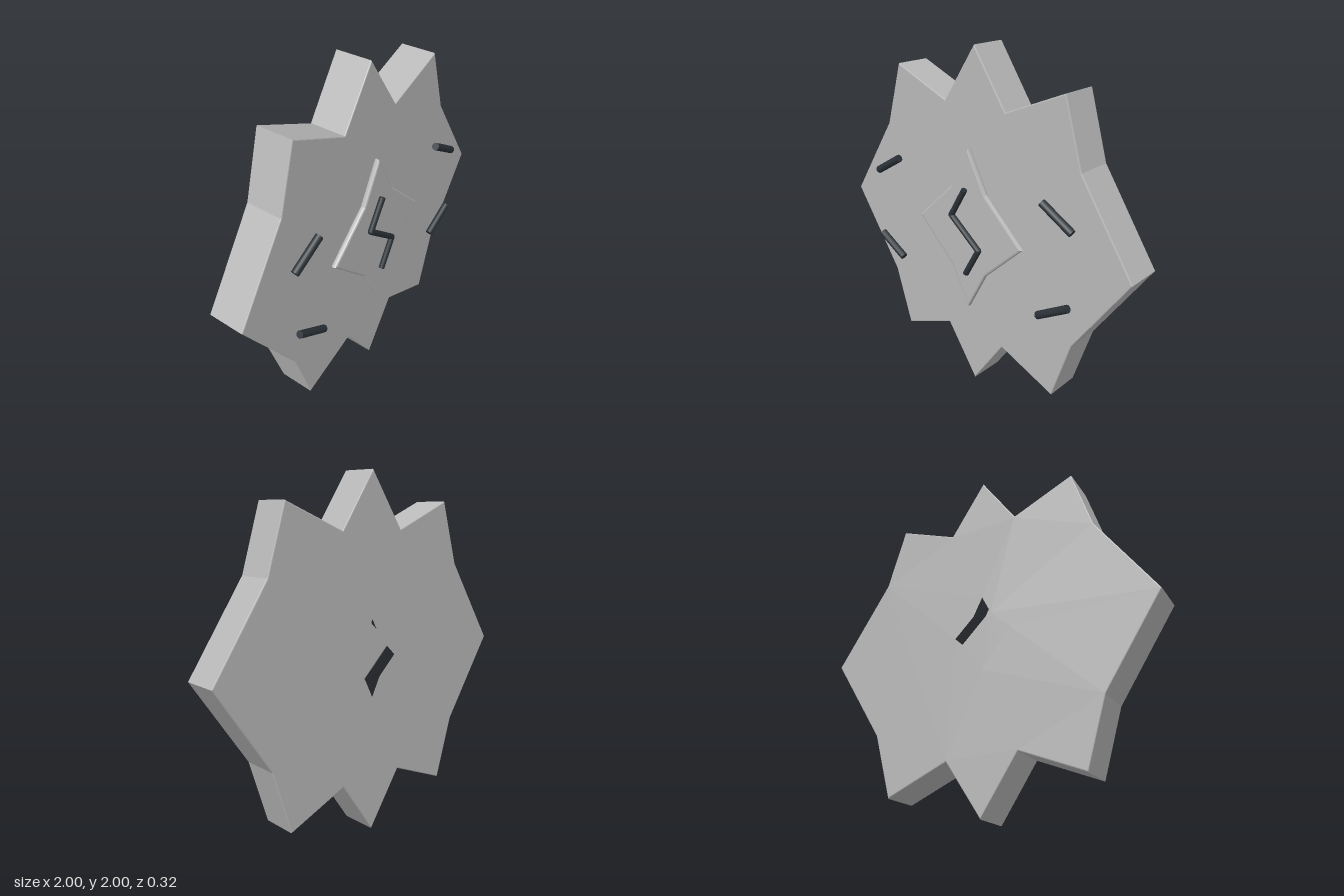
import * as THREE from 'three';

const stone = new THREE.MeshStandardMaterial({ color: 0xb8b8b8 });
stone.name = 'light grey';
const ink = new THREE.MeshStandardMaterial({ color: 0x2b3238 });
ink.name = 'dark slate';

// Mirrors one quadrant (top tip to right tip) into a closed four-way outline.
function mirrored(quadrant) {
  const right = quadrant.concat(quadrant.slice(0, -1).reverse().map(([x, y]) => [x, -y]));
  const left = right.slice(1, -1).reverse().map(([x, y]) => [-x, y]);
  return right.concat(left).map(([x, y]) => new THREE.Vector2(x, y));
}

// Extrudes an outline between two depths with a small bevel inside the outline.
function slab(name, outline, hole, back, front, bevel) {
  const shape = new THREE.Shape(outline);
  if (hole) shape.holes.push(new THREE.Path(hole));
  const geometry = new THREE.ExtrudeGeometry(shape, {
    depth: front - back - 2 * bevel,
    bevelEnabled: true, bevelThickness: bevel, bevelSize: bevel, bevelOffset: -bevel,
    bevelSegments: 2,
  });
  geometry.translate(0, 1, back + bevel);
  const mesh = new THREE.Mesh(geometry, stone);
  mesh.name = name;
  return mesh;
}

// Round bar between two points in the plane z.
function bar(name, [x1, y1], [x2, y2], z, radius) {
  const a = new THREE.Vector3(x1, y1, z);
  const b = new THREE.Vector3(x2, y2, z);
  const mesh = new THREE.Mesh(new THREE.CylinderGeometry(radius, radius, a.distanceTo(b), 10), ink);
  mesh.position.copy(a).lerp(b, 0.5);
  mesh.quaternion.setFromUnitVectors(new THREE.Vector3(0, 1, 0), b.sub(a).normalize());
  mesh.name = name;
  return mesh;
}

export function createModel() {
  const model = new THREE.Group();
  model.name = 'starPlaque';

  // Thick star with a small four-pointed opening through its middle
  const star = mirrored([[0, 1], [0.21, 0.69], [0.57, 0.84], [0.68, 0.48], [1, 0]]);
  const diamond = [[0, 0.475], [0.125, 0.24], [0.378, 0]];
  const opening = mirrored(diamond.map(([x, y]) => [x * 0.475, y * 0.475]));
  model.add(slab('starBody', star, opening, -0.157, 0.06, 0.006));

  // Thin four-pointed plate floating in front
  model.add(slab('centrePlate', mirrored(diamond), null, 0.083, 0.116, 0.012));

  // Four slanted bars
  for (const sx of [-1, 1]) {
    for (const sy of [-1, 1]) {
      model.add(bar('slantedBar', [sx * 0.7, 1 + sy * 0.205], [sx * 0.515, 1 + sy * 0.315], 0.138, 0.022));
    }
  }

  // Zigzag in the middle
  const zigzag = new THREE.Group();
  zigzag.name = 'zigzag';
  const path = [[0, 1.25], [-0.1, 1.08], [0.1, 0.92], [0.005, 0.75]];
  for (let i = 0; i < 3; i++) {
    zigzag.add(bar('zigzagStroke', path[i], path[i + 1], 0.138, 0.017));
    if (i === 0) continue;
    const joint = new THREE.Mesh(new THREE.SphereGeometry(0.017, 10, 8), ink);
    joint.position.set(path[i][0], path[i][1], 0.138);
    joint.name = 'zigzagJoint';
    zigzag.add(joint);
  }
  model.add(zigzag);

  return model;
}
